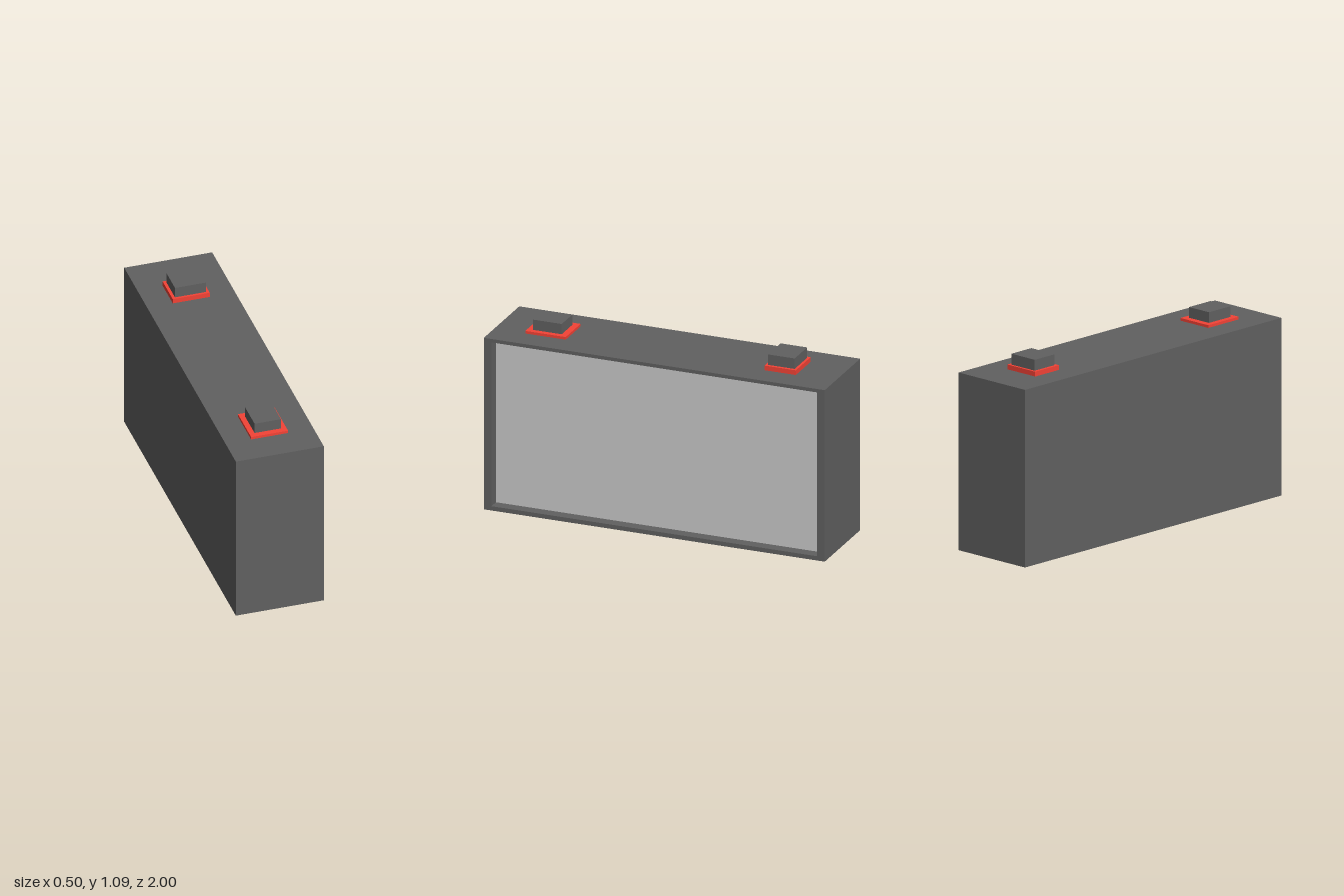
import * as THREE from 'three';

const dark = new THREE.MeshStandardMaterial({ color: 0x616161 });
const red = new THREE.MeshStandardMaterial({ color: 0xf44336 });
const grey = new THREE.MeshStandardMaterial({ color: 0xcccccc });

// Box given by its lower and upper corners
function box(name, [x0, y0, z0], [x1, y1, z1], material) {
  const mesh = new THREE.Mesh(new THREE.BoxGeometry(x1 - x0, y1 - y0, z1 - z0), material);
  mesh.name = name;
  mesh.position.set((x0 + x1) / 2, (y0 + y1) / 2, (z0 + z1) / 2);
  return mesh;
}

// Rectangle traced onto a shape or hole path
function rect(path, x0, y0, x1, y1) {
  path.moveTo(x0, y0);
  path.lineTo(x1, y0);
  path.lineTo(x1, y1);
  path.lineTo(x0, y1);
  path.closePath();
  return path;
}

// Button on the top face: a thin red collar with a dark cap
function button(name, collar, cap) {
  const group = new THREE.Group();
  group.name = name;
  group.add(
    box('collar', [-collar.x, 1, collar.z0], [collar.x, collar.top, collar.z1], red),
    box('cap', [-cap.x, 1, cap.z0], [cap.x, cap.top, cap.z1], dark)
  );
  return group;
}

export function createModel() {
  const model = new THREE.Group();
  const recess = 0.185; // x of the sunken panel

  // Solid casing behind the recess
  model.add(box('casing', [-0.25, 0, -1], [recess, 1, 1], dark));

  // Raised rim around the open left side
  const outline = rect(new THREE.Shape(), -1, 0, 1, 1);
  outline.holes.push(rect(new THREE.Path(), -0.955, 0.025, 0.955, 0.98));
  const rim = new THREE.Mesh(
    new THREE.ExtrudeGeometry(outline, { depth: 0.25 - recess, bevelEnabled: false }),
    dark
  );
  rim.name = 'rim';
  rim.rotation.y = Math.PI / 2;
  rim.position.x = recess;
  model.add(rim);

  // Sunken display panel
  model.add(box('panel', [recess - 0.01, 0.025, -0.955], [recess + 0.002, 0.98, 0.955], grey));

  // Buttons: a wide low one at the front, a tighter taller one at the back
  model.add(
    button('frontButton',
      { x: 0.105, z0: 0.58, z1: 0.817, top: 1.015 },
      { x: 0.075, z0: 0.616, z1: 0.784, top: 1.075 }),
    button('backButton',
      { x: 0.105, z0: -0.77, z1: -0.586, top: 1.027 },
      { x: 0.088, z0: -0.756, z1: -0.6, top: 1.088 })
  );
  return model;
}
